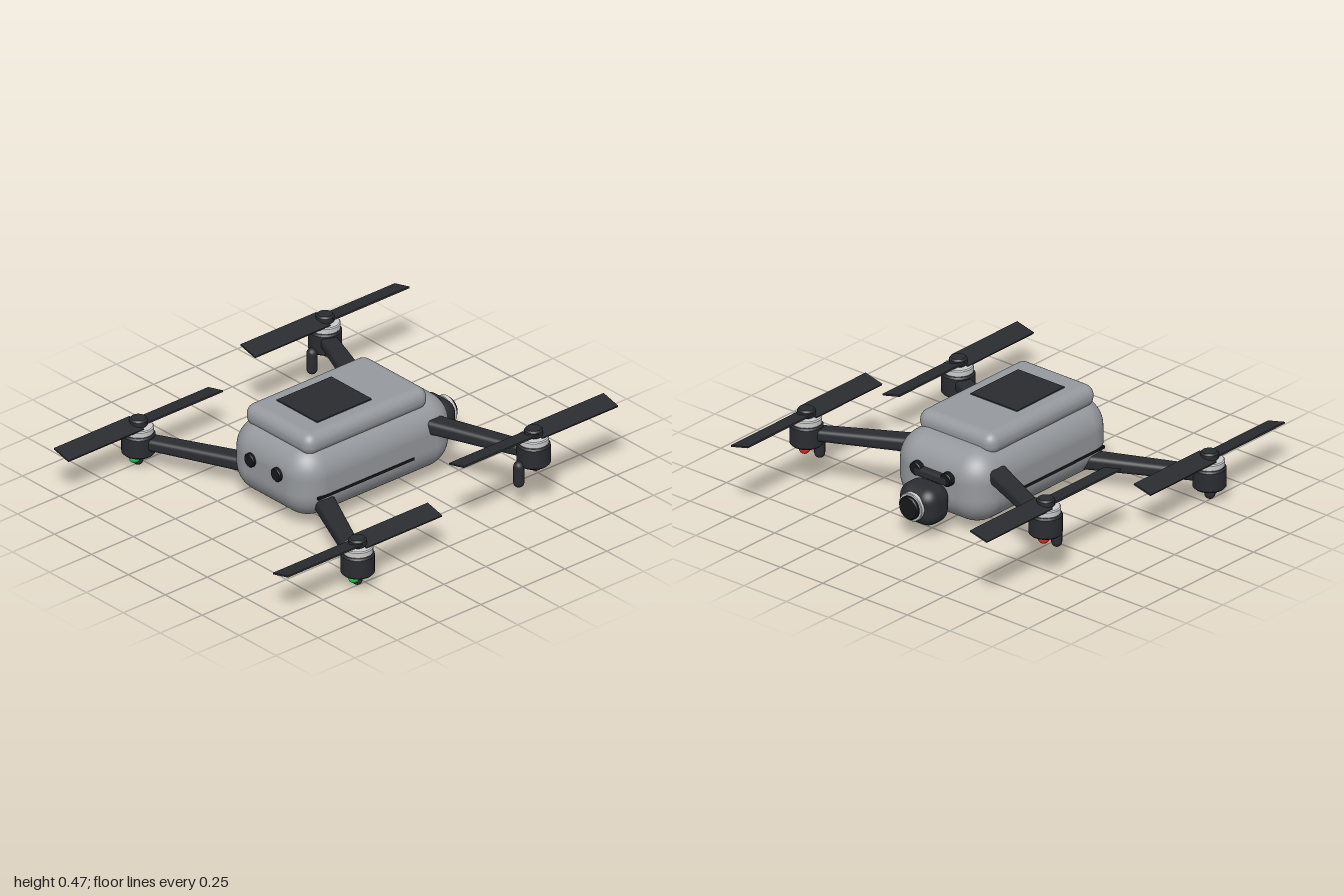
import * as THREE from 'three';
import { RoundedBoxGeometry } from 'three/addons/geometries/RoundedBoxGeometry.js';

const mat = (color) => new THREE.MeshStandardMaterial({ color });
const shell = mat(0x96999d), dark = mat(0x2a2c30), black = mat(0x17181b);
const silver = mat(0xcccccc), green = mat(0x22cc55), red = mat(0xdd3322);

function add(parent, name, geometry, material, x = 0, y = 0, z = 0) {
  const mesh = new THREE.Mesh(geometry, material);
  mesh.name = name;
  mesh.position.set(x, y, z);
  parent.add(mesh);
  return mesh;
}

const rounded = (w, h, d, r, s = 6) => new RoundedBoxGeometry(w, h, d, s, r);

// Short cylinder with bevelled rims, standing on y = 0
function puck(r, h, bevel) {
  const p = [[0, 0], [r - bevel, 0], [r - bevel, 0], [r, bevel], [r, bevel], [r, h - bevel],
    [r, h - bevel], [r - bevel, h], [r - bevel, h], [0, h]];
  return new THREE.LatheGeometry(p.map(([a, b]) => new THREE.Vector2(a, b)), 32);
}

// Arm between two points, slimmer towards the motor
function addArm(parent, from, to) {
  const dir = to.clone().sub(from), length = dir.length();
  const geometry = rounded(0.1, 0.072, length, 0.025, 4);
  const pos = geometry.attributes.position;
  for (let i = 0; i < pos.count; i++) {
    const k = 1 - 0.2 * (pos.getZ(i) / length + 0.5);
    pos.setXY(i, pos.getX(i) * k, pos.getY(i) * k);
  }
  const arm = add(parent, 'arm', geometry, dark);
  arm.position.copy(from).addScaledVector(dir, 0.5);
  arm.lookAt(to);
}

// Motor with silver ring, hub and a two-bladed propeller
function addRotor(parent, x, y, z, side) {
  const rotor = new THREE.Group();
  rotor.name = 'rotor';
  rotor.position.set(x, y, z);
  parent.add(rotor);
  add(rotor, 'motorHousing', puck(0.077, 0.105, 0.008), dark);
  add(rotor, 'motorRing', puck(0.07, 0.034, 0.005), silver, 0, 0.104, 0);
  add(rotor, 'propellerHub', puck(0.042, 0.04, 0.008), dark, 0, 0.137, 0);
  for (const end of [1, -1]) {
    const blade = add(rotor, 'blade', new THREE.BoxGeometry(0.102, 0.008, 0.45), dark, 0, 0.152, end * 0.235);
    blade.rotation.z = side * end * 0.24;
  }
}

export function createModel() {
  const drone = new THREE.Group();
  drone.name = 'drone';

  // Body shell, battery cover and top pad
  add(drone, 'body', rounded(0.55, 0.36, 0.93, 0.14, 8), shell, 0, 0.22, -0.025);
  add(drone, 'batteryCover', rounded(0.45, 0.11, 0.73, 0.052), shell, 0, 0.411, 0.01);
  add(drone, 'topPad', new THREE.BoxGeometry(0.274, 0.012, 0.325), dark, 0, 0.466, 0.083);

  // Front and rear sensor eyes
  const eye = puck(0.033, 0.035, 0.005).rotateX(Math.PI / 2);
  for (const s of [1, -1]) {
    add(drone, 'frontSensor', eye, black, s * 0.09, 0.255, 0.42);
    add(drone, 'rearSensor', eye, black, s * 0.09, 0.27, -0.518);
    add(drone, 'sideSeam', new THREE.BoxGeometry(0.012, 0.012, 0.57), black, s * 0.273, 0.175, 0.075);
  }

  // Rear camera
  add(drone, 'cameraBracket', rounded(0.2, 0.045, 0.06, 0.015, 3), dark, 0, 0.26, -0.49);
  add(drone, 'cameraBody', rounded(0.21, 0.185, 0.165, 0.065), dark, 0, 0.152, -0.557);
  const lensTurn = -Math.PI / 2;
  add(drone, 'lensRing', puck(0.068, 0.025, 0.003).rotateX(lensTurn), silver, 0, 0.157, -0.627);
  add(drone, 'lens', puck(0.056, 0.04, 0.006).rotateX(lensTurn), black, 0, 0.157, -0.628);

  // Arms, rotors, feet and lights on both sides
  for (const s of [1, -1]) {
    addArm(drone, new THREE.Vector3(s * 0.2, 0.123, 0.277), new THREE.Vector3(s * 0.74, 0.122, 0.535));
    addArm(drone, new THREE.Vector3(s * 0.2, 0.291, -0.325), new THREE.Vector3(s * 0.705, 0.27, -0.543));
    addRotor(drone, s * 0.742, 0.06, 0.537, s);
    addRotor(drone, s * 0.706, 0.212, -0.543, s);

    add(drone, 'frontFoot', new THREE.CapsuleGeometry(0.025, 0.04, 6, 16), dark, s * 0.742, 0.045, 0.54);
    add(drone, 'rearFoot', new THREE.CapsuleGeometry(0.025, 0.08, 6, 16), dark, s * 0.7, 0.18, -0.46);
    add(drone, 'frontLight', new THREE.SphereGeometry(0.026, 20, 14), green, s * 0.742, 0.042, 0.56);
    add(drone, 'rearLight', new THREE.SphereGeometry(0.027, 20, 14), red, s * 0.706, 0.195, -0.556);
  }
  // Lens parts face backwards
  for (const name of ['lensRing', 'lens']) drone.getObjectByName(name).updateMatrix();
  return drone;
}
